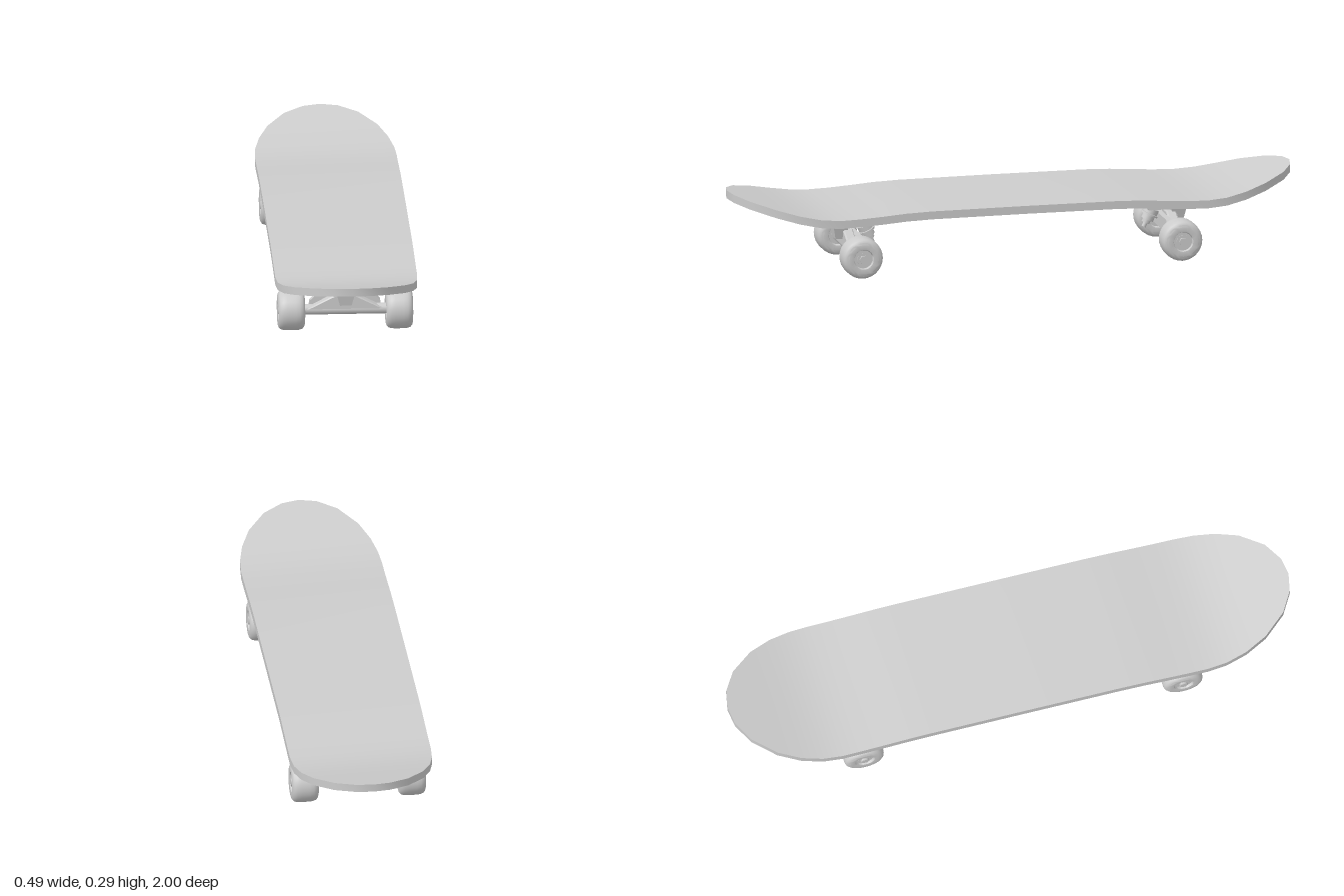
import * as THREE from 'three';
import { toCreasedNormals } from 'three/addons/utils/BufferGeometryUtils.js';

const grey = new THREE.MeshStandardMaterial({ color: 0xcccccc });
grey.name = 'plain grey';

function add(parent, name, geometry, x = 0, y = 0, z = 0) {
  const mesh = new THREE.Mesh(geometry, grey);
  mesh.name = name;
  mesh.position.set(x, y, z);
  parent.add(mesh);
  return mesh;
}

// Surface through a row of equal closed rings, with flat end caps
function loft(rings, crease = 0.5) {
  const n = rings[0].length;
  const index = [];
  for (let i = 0; i < rings.length - 1; i++) {
    for (let j = 0; j < n; j++) {
      const a = i * n + j, b = i * n + (j + 1) % n;
      index.push(a, b, b + n, a, b + n, a + n);
    }
  }
  const last = (rings.length - 1) * n;
  for (let j = 1; j < n - 1; j++) {
    index.push(0, j + 1, j, last, last + j, last + j + 1);
  }
  const g = new THREE.BufferGeometry();
  g.setAttribute('position', new THREE.Float32BufferAttribute(rings.flat(2), 3));
  g.setIndex(index);
  return toCreasedNormals(g, crease);
}

// Board: straight middle, elliptical ends, kicked-up nose and tail
function deckGeometry() {
  const heights = [[0, 0.235], [0.33, 0.234], [0.42, 0.231], [0.5, 0.225], [0.58, 0.22], [0.65, 0.218],
    [0.72, 0.223], [0.8, 0.238], [0.87, 0.256], [1, 0.29]];
  const topAt = (z) => {
    let k = 1;
    while (k < heights.length - 1 && heights[k][0] < z) k++;
    const [z0, y0] = heights[k - 1], [z1, y1] = heights[k];
    return y0 + (y1 - y0) * (z - z0) / (z1 - z0);
  };
  const half = [[0, 0.245], [0.33, 0.245], [0.42, 0.245], [0.5, 0.245], [0.58, 0.245], [0.65, 0.245]];
  for (const a of [0.2, 0.42, 0.68, 1.02, 1.32, 1.565]) {
    half.push([0.65 + 0.348 * Math.sin(a), 0.245 * Math.cos(a)]);
  }
  const stations = [...half.slice(1).reverse().map(([z, w]) => [-z, w]), ...half];
  return loft(stations.map(([z, w]) => {
    const t = topAt(Math.abs(z)), b = t - 0.028;
    return [[w, b, z], [w, t, z], [-w, t, z], [-w, b, z]];
  }), 0.7);
}

// Block between two rectangles, each given as [halfWidth, y, zMin, zMax]
function taperedBlock(low, high) {
  return loft([low, high].map(([w, y, z0, z1]) => [[-w, y, z0], [-w, y, z1], [w, y, z1], [w, y, z0]]), 0.1);
}

function extrudeZ(points, depth, bevel) {
  const shape = new THREE.Shape(points.map(([x, y]) => new THREE.Vector2(x, y)));
  return new THREE.ExtrudeGeometry(shape, {
    depth, bevelEnabled: bevel > 0, bevelSize: bevel, bevelThickness: bevel, bevelSegments: 1,
  });
}

// Round tyre with a stepped hub on both faces
function wheelGeometry() {
  const outer = [[0.019, 0.036], [0.032, 0.036], [0.035, 0.044], [0.052, 0.0465], [0.06, 0.044],
    [0.067, 0.038], [0.0705, 0.028], [0.0715, 0.014]];
  const inner = outer.map(([r, x]) => [r, -x]);
  const profile = [...inner, ...outer.reverse()].map(([r, x]) => new THREE.Vector2(r, x));
  const g = new THREE.LatheGeometry(profile, 28);
  g.rotateZ(-Math.PI / 2);
  return toCreasedNormals(g, 0.6);
}

function rod(r, length, sides = 20) {
  return new THREE.CylinderGeometry(r, r, length, sides);
}

// One truck; +z points to the end of the board, the kingpin sits inward
function makeTruck(name) {
  const truck = new THREE.Group();
  truck.name = name;
  const axleY = 0.0725;

  // Mounting plate and tapered base
  add(truck, 'mountingPlate', taperedBlock([0.068, 0.183, -0.108, 0.09], [0.075, 0.192, -0.115, 0.095]));
  add(truck, 'base', taperedBlock([0.033, 0.143, -0.075, 0.062], [0.033, 0.186, -0.1, 0.088]));
  add(truck, 'pivotPost', taperedBlock([0.02, 0.1, 0.015, 0.05], [0.033, 0.15, 0.005, 0.06]));

  // Hanger: sloping gusset outside, broad yoke inside
  add(truck, 'hangerGusset',
    extrudeZ([[-0.125, 0.08], [0.125, 0.08], [0.022, 0.131], [-0.022, 0.131]], 0.026, 0.005), 0, 0, -0.006);
  add(truck, 'hangerYoke',
    extrudeZ([[-0.125, 0.075], [0.125, 0.075], [0.122, 0.1], [0.1, 0.122], [-0.1, 0.122], [-0.122, 0.1]], 0.022, 0),
    0, 0, -0.03);

  // Kingpin with bushings and nut, leaning inward
  const kingpin = new THREE.Group();
  kingpin.name = 'kingpin';
  kingpin.position.set(0, 0.12, -0.066);
  kingpin.rotation.x = 0.45;
  truck.add(kingpin);
  add(kingpin, 'pin', rod(0.008, 0.09), 0, 0, 0);
  add(kingpin, 'upperBushing', rod(0.026, 0.018), 0, 0.016, 0);
  add(kingpin, 'washer', rod(0.03, 0.006), 0, 0.003, 0);
  add(kingpin, 'lowerBushing', rod(0.022, 0.016), 0, -0.009, 0);
  add(kingpin, 'nut', rod(0.015, 0.012, 6), 0, -0.024, 0);

  // Axle, wheels and end nuts
  add(truck, 'axle', rod(0.0185, 0.3), 0, axleY, 0).rotation.z = Math.PI / 2;
  const wheel = wheelGeometry();
  for (const side of [-1, 1]) {
    const label = side > 0 ? 'left' : 'right';
    add(truck, label + 'Wheel', wheel, side * 0.1865, axleY, 0);
    add(truck, label + 'Bearing', rod(0.023, 0.076), side * 0.1865, axleY, 0).rotation.z = Math.PI / 2;
    add(truck, label + 'AxleNut', rod(0.015, 0.012, 6), side * 0.226, axleY, 0).rotation.z = Math.PI / 2;
  }
  return truck;
}

export function createModel() {
  const model = new THREE.Group();
  model.name = 'skateboard';
  add(model, 'deck', deckGeometry());
  const front = makeTruck('frontTruck');
  front.position.z = 0.567;
  const back = makeTruck('backTruck');
  back.position.z = -0.567;
  back.rotation.y = Math.PI;
  model.add(front, back);
  return model;
}
